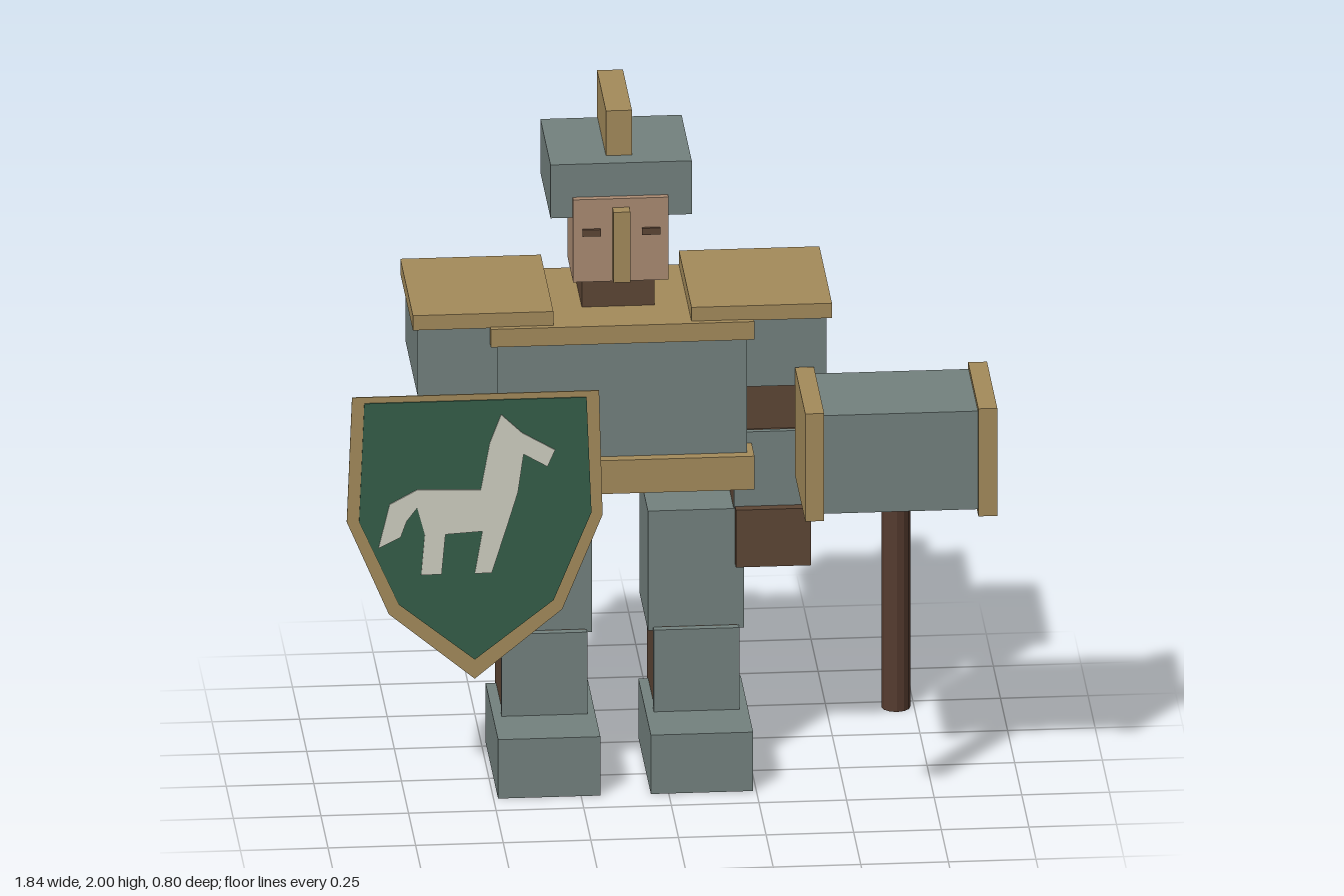
import * as THREE from 'three';

const paint = (name, color) => {
  const m = new THREE.MeshStandardMaterial({ color });
  m.name = name;
  return m;
};

export function createModel() {
  const steel = paint('steel', 0x73817e);
  const gold = paint('gold', 0xa48b5b);
  const leather = paint('leather', 0x5d4635);
  const wood = paint('wood', 0x553b2f);
  const skin = paint('skin', 0xaa8b72);
  const green = paint('green', 0x355e49);
  const ivory = paint('ivory', 0xd0d0c2);

  const model = new THREE.Group();
  model.name = 'hammerKnight';
  const CX = -0.123; // body's centre line

  const group = (name) => {
    const g = new THREE.Group();
    g.name = name;
    model.add(g);
    return g;
  };
  // box given by its limits on each axis
  const box = (parent, name, mat, [x0, x1], [y0, y1], [z0, z1]) => {
    const mesh = new THREE.Mesh(new THREE.BoxGeometry(x1 - x0, y1 - y0, z1 - z0), mat);
    mesh.position.set((x0 + x1) / 2, (y0 + y1) / 2, (z0 + z1) / 2);
    mesh.name = name;
    parent.add(mesh);
  };

  // torso with collar and belt
  const body = group('body');
  box(body, 'torso', steel, [-0.48, 0.233], [0.94, 1.385], [-0.39, 0.037]);
  box(body, 'collar', gold, [-0.5, 0.252], [1.343, 1.398], [-0.396, 0.064]);
  box(body, 'belt', gold, [-0.5, 0.252], [0.886, 0.988], [-0.382, 0.068]);

  // head, face and helmet
  const head = group('head');
  box(head, 'neck', leather, [-0.228, -0.02], [1.38, 1.527], [-0.302, -0.088]);
  box(head, 'face', skin, [-0.26, 0.012], [1.51, 1.762], [-0.202, 0.002]);
  box(head, 'noseGuard', gold, [-0.148, -0.1], [1.52, 1.735], [-0.01, 0.04]);
  for (const s of [-1, 1]) {
    const x = CX + s * 0.085;
    box(head, 'eye', leather, [x - 0.026, x + 0.026], [1.652, 1.672], [0.002, 0.011]);
  }
  box(head, 'helmet', steel, [-0.323, 0.08], [1.7, 1.863], [-0.375, -0.018]);
  box(head, 'crest', gold, [-0.16, -0.086], [1.845, 2], [-0.393, -0.077]);

  // arms and legs, mirrored about the centre line
  for (const s of [1, -1]) {
    const side = s > 0 ? 'left' : 'right';
    const mx = (a, b) => (s > 0 ? [CX + a, CX + b] : [CX - b, CX - a]);

    const arm = group(side + 'Arm');
    box(arm, 'shoulderCap', gold, mx(0.197, 0.598), [1.395, 1.44], [-0.396, 0.046]);
    box(arm, 'shoulderPad', steel, mx(0.3, 0.583), [1.187, 1.397], [-0.393, 0.032]);
    box(arm, 'upperArm', leather, mx(0.33, 0.535), [1.0, 1.2], [-0.325, -0.063]);
    box(arm, 'forearm', leather, mx(0.325, 0.533), [0.76, 1.02], [-0.282, -0.052]);
    if (s > 0) box(arm, 'forearmGuard', steel, mx(0.325, 0.536), [0.79, 1.022], [-0.052, -0.035]);
    else box(arm, 'forearmGuard', steel, mx(0.53, 0.54), [0.79, 1.022], [-0.275, -0.045]);
    box(arm, 'hand', leather, mx(0.328, 0.542), [0.62, 0.795], [-0.225, -0.006]);

    const leg = group(side + 'Leg');
    box(leg, 'thigh', steel, mx(0.08, 0.354), [0.42, 0.785], [-0.345, -0.045]);
    box(leg, 'shin', leather, mx(0.1, 0.334), [0.075, 0.43], [-0.315, -0.043]);
    box(leg, 'shinGuard', steel, mx(0.095, 0.339), [0.15, 0.43], [-0.043, -0.021]);
    box(leg, 'boot', steel, mx(0.072, 0.364), [0, 0.18], [-0.282, 0.158]);
  }

  // war hammer
  const hammer = group('hammer');
  box(hammer, 'hammerHead', steel, [0.4, 0.89], [0.93, 1.23], [0.055, 0.382]);
  box(hammer, 'innerCap', gold, [0.37, 0.424], [0.915, 1.244], [0.038, 0.4]);
  box(hammer, 'outerCap', gold, [0.864, 0.918], [0.915, 1.244], [0.038, 0.4]);
  const handle = new THREE.Mesh(new THREE.CylinderGeometry(0.041, 0.041, 0.7, 12).toNonIndexed(), wood);
  handle.geometry.computeVertexNormals();
  handle.position.set(0.643, 0.62, 0.222);
  handle.name = 'handle';
  hammer.add(handle);

  // shield: thin layered plates
  const shield = group('shield');
  const plate = (name, mat, points, z) => {
    const shape = new THREE.Shape(points.map(([x, y]) => new THREE.Vector2(x, y)));
    const geo = new THREE.ExtrudeGeometry(shape, { depth: 0.004, bevelEnabled: false });
    const mesh = new THREE.Mesh(geo, mat);
    mesh.position.z = z;
    mesh.name = name;
    shield.add(mesh);
  };
  plate('shieldRim', gold, [[-0.905, 1.245], [-0.2, 1.245], [-0.19, 0.865], [-0.305, 0.58],
    [-0.555, 0.375], [-0.8, 0.58], [-0.92, 0.865]], 0.17);
  plate('shieldField', green, [[-0.87, 1.227], [-0.236, 1.227], [-0.222, 0.875], [-0.33, 0.61],
    [-0.555, 0.435], [-0.772, 0.61], [-0.885, 0.865]], 0.174);
  plate('horseEmblem', ivory, [[-0.48, 1.183], [-0.42, 1.125], [-0.326, 1.07], [-0.348, 1.02],
    [-0.416, 1.06], [-0.432, 0.945], [-0.464, 0.838], [-0.507, 0.7], [-0.555, 0.7], [-0.533, 0.828],
    [-0.639, 0.822], [-0.65, 0.7], [-0.708, 0.7], [-0.698, 0.822], [-0.72, 0.905], [-0.75, 0.865],
    [-0.767, 0.817], [-0.83, 0.785], [-0.798, 0.918], [-0.72, 0.96], [-0.538, 0.955], [-0.512, 1.098]], 0.178);

  return model;
}
